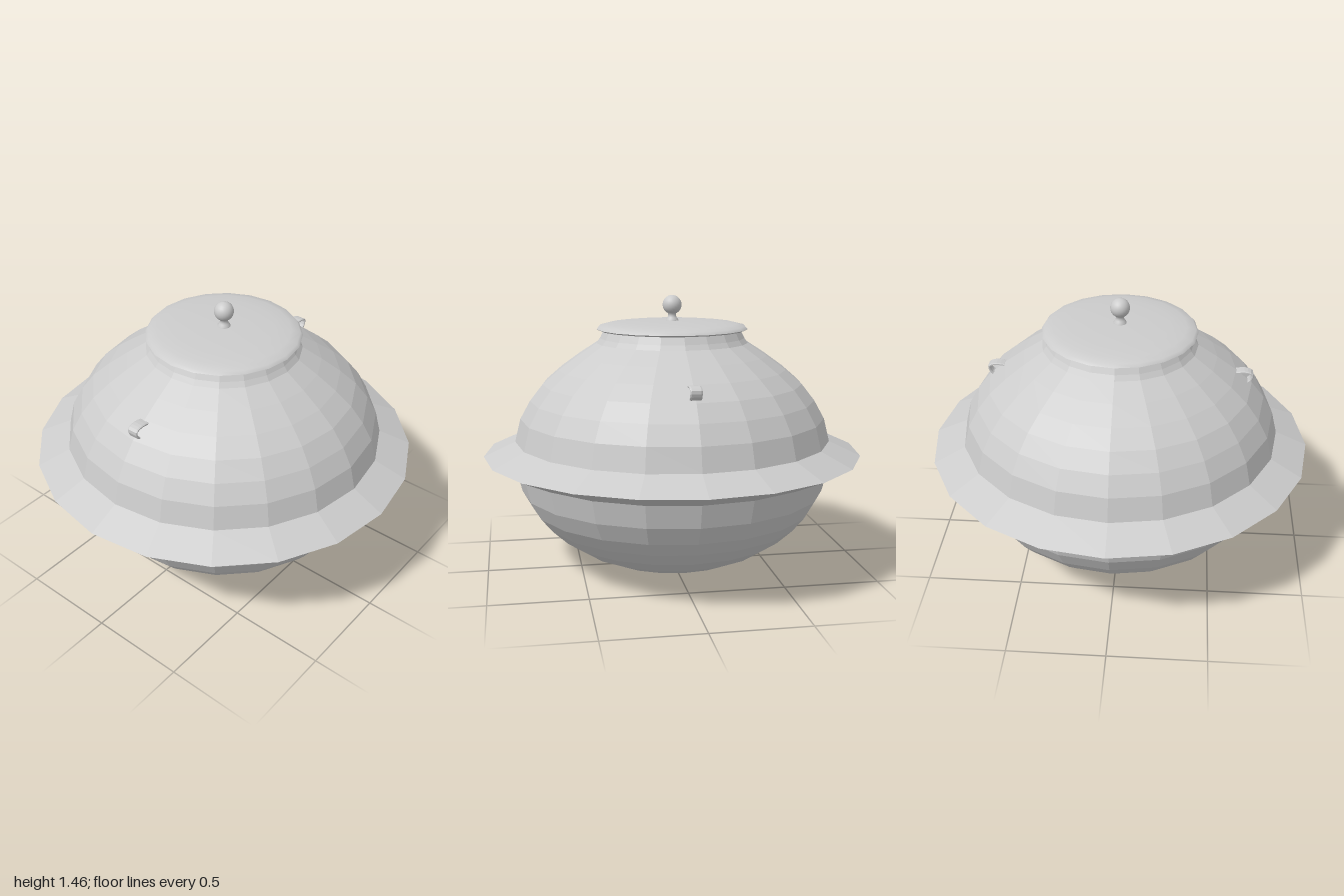
import * as THREE from 'three';

const SIDES = 20;

function lathe(name, profile, flat, sides = SIDES) {
  const material = new THREE.MeshStandardMaterial({
    color: 0xcccccc, flatShading: flat, side: THREE.DoubleSide,
  });
  const points = profile.map(([r, y]) => new THREE.Vector2(r, y));
  const mesh = new THREE.Mesh(new THREE.LatheGeometry(points, sides), material);
  mesh.name = name;
  return mesh;
}

// Bent strap: a centre line thickened in its plane and extruded across its width
function strapHandle(side) {
  const curve = new THREE.CatmullRomCurve3([
    [0.57, 1.065], [0.61, 1.077], [0.655, 1.079], [0.683, 1.066], [0.676, 1.036], [0.655, 1.018], [0.63, 1.012],
  ].map(([x, y]) => new THREE.Vector3(x, y, 0)));
  const outer = [], inner = [];
  for (let i = 0; i <= 14; i++) {
    const p = curve.getPoint(i / 14), t = curve.getTangent(i / 14);
    outer.push(new THREE.Vector2(p.x - t.y * 0.006, p.y + t.x * 0.006));
    inner.push(new THREE.Vector2(p.x + t.y * 0.006, p.y - t.x * 0.006));
  }
  const shape = new THREE.Shape([...outer, ...inner.reverse()]);
  const geometry = new THREE.ExtrudeGeometry(shape, {
    depth: 0.046, bevelEnabled: true, bevelThickness: 0.006, bevelSize: 0.003, bevelOffset: -0.003, bevelSegments: 1,
  });
  geometry.translate(0, 0, -0.023);
  const mesh = new THREE.Mesh(geometry, new THREE.MeshStandardMaterial({ color: 0xcccccc }));
  mesh.rotation.y = side > 0 ? 0 : Math.PI;
  mesh.name = side > 0 ? 'leftHandle' : 'rightHandle';
  return mesh;
}

export function createModel() {
  const pot = new THREE.Group();
  pot.name = 'lidded pot';

  // Rounded bowl below the flange
  pot.add(lathe('lowerBowl', [
    [0, 0.006], [0.14, 0.012], [0.26, 0.032], [0.39, 0.073], [0.51, 0.128], [0.61, 0.195],
    [0.69, 0.27], [0.752, 0.345], [0.805, 0.44], [0.835, 0.56],
  ], true));

  // Sharp-edged flange around the waist
  pot.add(lathe('flange', [[0.835, 0.56], [1, 0.635], [0.835, 0.71]], true));

  // Shoulder narrowing to a short neck
  pot.add(lathe('upperBody', [
    [0.835, 0.71], [0.805, 0.83], [0.752, 0.925], [0.685, 1.01], [0.6, 1.083],
    [0.5, 1.155], [0.4, 1.22], [0.382, 1.245], [0.362, 1.285],
  ], true));

  // Lid: flat underside and rim, with a shallow smooth dome
  const lid = new THREE.Group();
  lid.name = 'lid';
  lid.add(
    lathe('lidRim', [[0, 1.285], [0.385, 1.285], [0.398, 1.292]], true),
    lathe('lidDome', [[0.398, 1.292], [0.385, 1.307], [0.34, 1.318], [0.26, 1.326], [0.14, 1.331], [0, 1.333]], false),
  );

  // Knob: flared stem blending into a ball
  const knob = [[0.034, 1.325], [0.033, 1.337], [0.024, 1.348], [0.021, 1.358]];
  for (let i = 0; i <= 12; i++) {
    const a = -1.14 + (i / 12) * (1.14 + Math.PI / 2);
    knob.push([Math.max(0, 0.05 * Math.cos(a)), 1.415 + 0.05 * Math.sin(a)]);
  }
  lid.add(lathe('lidKnob', knob, false, 24));
  pot.add(lid);

  // Pair of strap handles on the shoulder
  for (const side of [1, -1]) pot.add(strapHandle(side));
  return pot;
}
